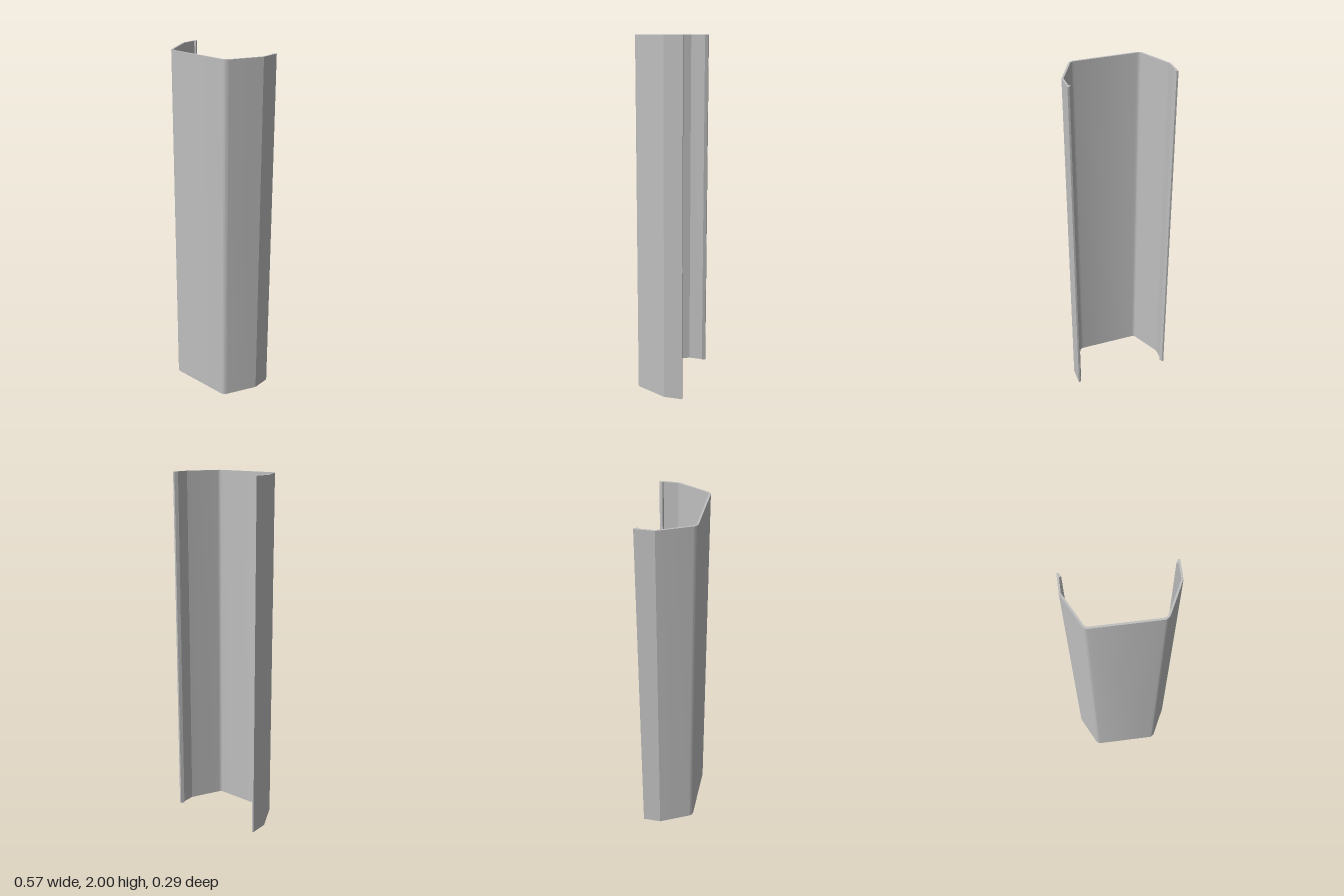
import * as THREE from 'three';
import { toCreasedNormals } from 'three/addons/utils/BufferGeometryUtils.js';

const HEIGHT = 2;
const BEND = { x: 0.17, z: 0.112 };   // centre of the rounded front corner
const SLOPE = 0.467;                  // angle of the slanted wall's normal from x

// Points [x, z] along a rounded corner between two angles
function arc(radius, from, to, steps = 8) {
  return Array.from({ length: steps + 1 }, (_, i) => {
    const a = from + (to - from) * i / steps;
    return [BEND.x + radius * Math.cos(a), BEND.z + radius * Math.sin(a)];
  });
}

export function createModel() {
  const grey = new THREE.MeshStandardMaterial({ color: 0xbfbfbf });
  grey.name = 'grey';

  // Left half of the cross-section: outer face, hooked lip, inner face
  const half = [
    ...arc(0.034, Math.PI / 2, SLOPE),
    [0.2845, -0.042],
    [0.2845, -0.146],
    [0.2745, -0.146],
    [0.2645, -0.128],
    [0.2745, -0.123],
    [0.2745, -0.044],
    ...arc(0.0235, SLOPE, Math.PI / 2),
  ];
  const mirrored = half.map(([x, z]) => [-x, z]).reverse();
  const outline = [...half, ...mirrored].map(([x, z]) => new THREE.Vector2(x, -z));

  // Extrude the section upwards
  let geometry = new THREE.ExtrudeGeometry(new THREE.Shape(outline), {
    depth: HEIGHT, bevelEnabled: false,
  });
  geometry.rotateX(-Math.PI / 2);
  geometry = toCreasedNormals(geometry, 0.3);

  const channel = new THREE.Mesh(geometry, grey);
  channel.name = 'channelProfile';

  const model = new THREE.Group();
  model.name = 'channel';
  model.add(channel);
  return model;
}
